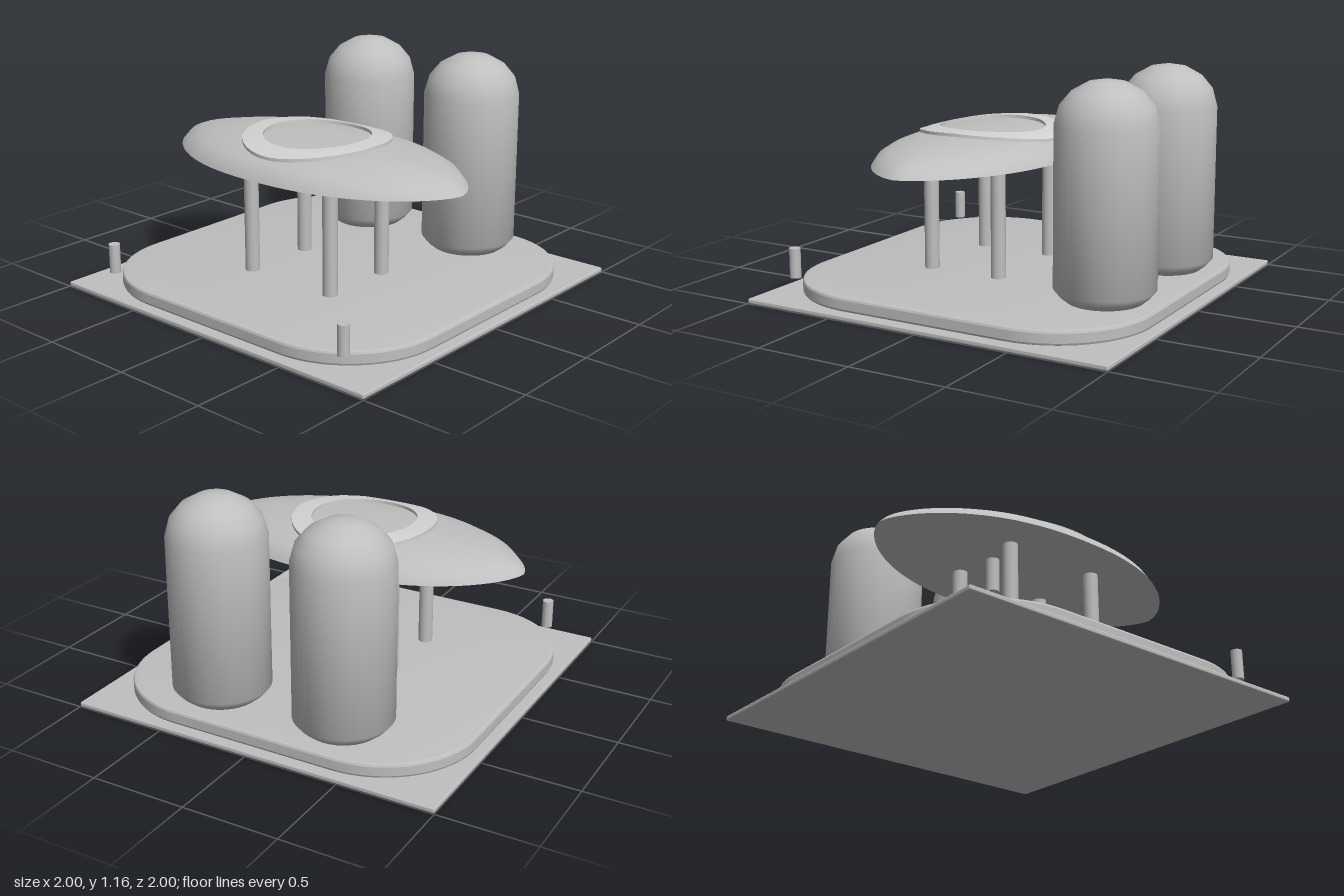
import * as THREE from 'three';
import { toCreasedNormals } from 'three/addons/utils/BufferGeometryUtils.js';
import { RoundedBoxGeometry } from 'three/addons/geometries/RoundedBoxGeometry.js';

const CANOPY_Z = 0.17;
const CANOPY_PROFILE = [[0, 0.832], [0.2, 0.83], [0.42, 0.823], [0.6, 0.81], [0.73, 0.795], [0.86, 0.77], [0.95, 0.74], [1, 0.695]];

// distance from the canopy centre to its rim in direction a
function rimRadius(a) {
  let lo = 0, hi = 1;
  for (let i = 0; i < 24; i++) {
    const r = (lo + hi) / 2;
    const f = Math.abs(r * Math.cos(a) / 0.9) ** 2.3 + Math.abs(r * Math.sin(a) / 0.472) ** 1.5;
    if (f < 1) lo = r; else hi = r;
  }
  return lo;
}

// canopy height at fraction s of the way to the rim
function canopyHeight(s) {
  for (let i = 1; i < CANOPY_PROFILE.length; i++) {
    const [s0, y0] = CANOPY_PROFILE[i - 1], [s1, y1] = CANOPY_PROFILE[i];
    if (s <= s1) return THREE.MathUtils.lerp(y0, y1, (s - s0) / (s1 - s0));
  }
  return 0.695;
}

// closed loops around the y axis; at(row, angle) returns [radius, y]
function loops(rows, cols, crease, at) {
  const pos = [], index = [];
  for (let i = 0; i < rows; i++) {
    for (let j = 0; j < cols; j++) {
      const a = j / cols * Math.PI * 2;
      const [r, y] = at(i, a);
      pos.push(r * Math.cos(a), y, r * Math.sin(a));
      if (i === rows - 1) continue;
      const k = (j + 1) % cols, p = i * cols, q = p + cols;
      index.push(p + j, p + k, q + j, p + k, q + k, q + j);
    }
  }
  const g = new THREE.BufferGeometry();
  g.setAttribute('position', new THREE.Float32BufferAttribute(pos, 3));
  g.setIndex(index);
  return toCreasedNormals(g, crease);
}

export function createModel() {
  const model = new THREE.Group();
  const grey = new THREE.MeshStandardMaterial({ color: 0xbfbfbf });
  grey.name = 'grey';
  const lightGrey = new THREE.MeshStandardMaterial({ color: 0xd2d2d2 });
  lightGrey.name = 'light grey';

  const add = (name, geometry, x, y, z, material = grey) => {
    const mesh = new THREE.Mesh(geometry, material);
    mesh.name = name;
    mesh.position.set(x, y, z);
    model.add(mesh);
    return mesh;
  };

  // square ground plate
  add('basePlate', new RoundedBoxGeometry(2, 0.026, 2, 2, 0.008), 0, 0.013, 0);

  // raised pad with large round corners and a bevelled edge
  const h = 0.935, c = 0.445, r = h - c;
  const padShape = new THREE.Shape();
  padShape.absarc(c, c, r, 0, Math.PI / 2);
  padShape.absarc(-c, c, r, Math.PI / 2, Math.PI);
  padShape.absarc(-c, -c, r, Math.PI, Math.PI * 1.5);
  padShape.absarc(c, -c, r, Math.PI * 1.5, Math.PI * 2);
  const padGeometry = new THREE.ExtrudeGeometry(padShape, {
    depth: 0.046, bevelThickness: 0.014, bevelSize: 0.015, bevelSegments: 2, curveSegments: 16,
  });
  padGeometry.rotateX(-Math.PI / 2);
  add('pad', toCreasedNormals(padGeometry, 0.4), 0, 0.04, 0);

  // two domed tanks at the back
  const tankProfile = [
    [0, 0.1], [0.19, 0.1], [0.222, 0.126], [0.25, 0.16], [0.25, 0.95], [0.225, 1.04],
    [0.17, 1.105], [0.09, 1.15], [0, 1.165],
  ].map(([x, y]) => new THREE.Vector2(x, y));
  const tankGeometry = toCreasedNormals(new THREE.LatheGeometry(tankProfile, 40), 0.75);

  const legGeometry = new THREE.CylinderGeometry(0.038, 0.038, 0.61, 20);
  const postGeometry = new THREE.CylinderGeometry(0.029, 0.029, 0.153, 16);
  for (const side of [-1, 1]) {
    add('tank', tankGeometry, side * 0.35, 0, -0.662);
    add('cornerPost', postGeometry, side * 0.777, 0.1765, 0.872);
    for (const z of [-0.02, 0.38]) add('canopyLeg', legGeometry, side * 0.267, 0.395, z);
  }

  // lens-shaped canopy: domed top, then a flat underside
  const rows = CANOPY_PROFILE.length;
  add('canopy', loops(rows + 1, 112, 0.8, (i, a) => {
    if (i === rows) return [0, 0.695];
    const [s, y] = CANOPY_PROFILE[i];
    return [s * rimRadius(a), y];
  }), 0, 0, CANOPY_Z);

  // round trim draped over the canopy: [radius, height above the canopy]
  const trim = [[0.275, -0.01], [0.275, 0.016], [0.31, 0.016], [0.345, 0.016], [0.378, 0.016], [0.378, -0.01]];
  add('canopyRing', loops(trim.length, 80, 0.7, (i, a) => {
    const [radius, lift] = trim[i];
    return [radius, canopyHeight(radius / rimRadius(a)) + lift];
  }), 0, 0, CANOPY_Z, lightGrey);

  return model;
}
